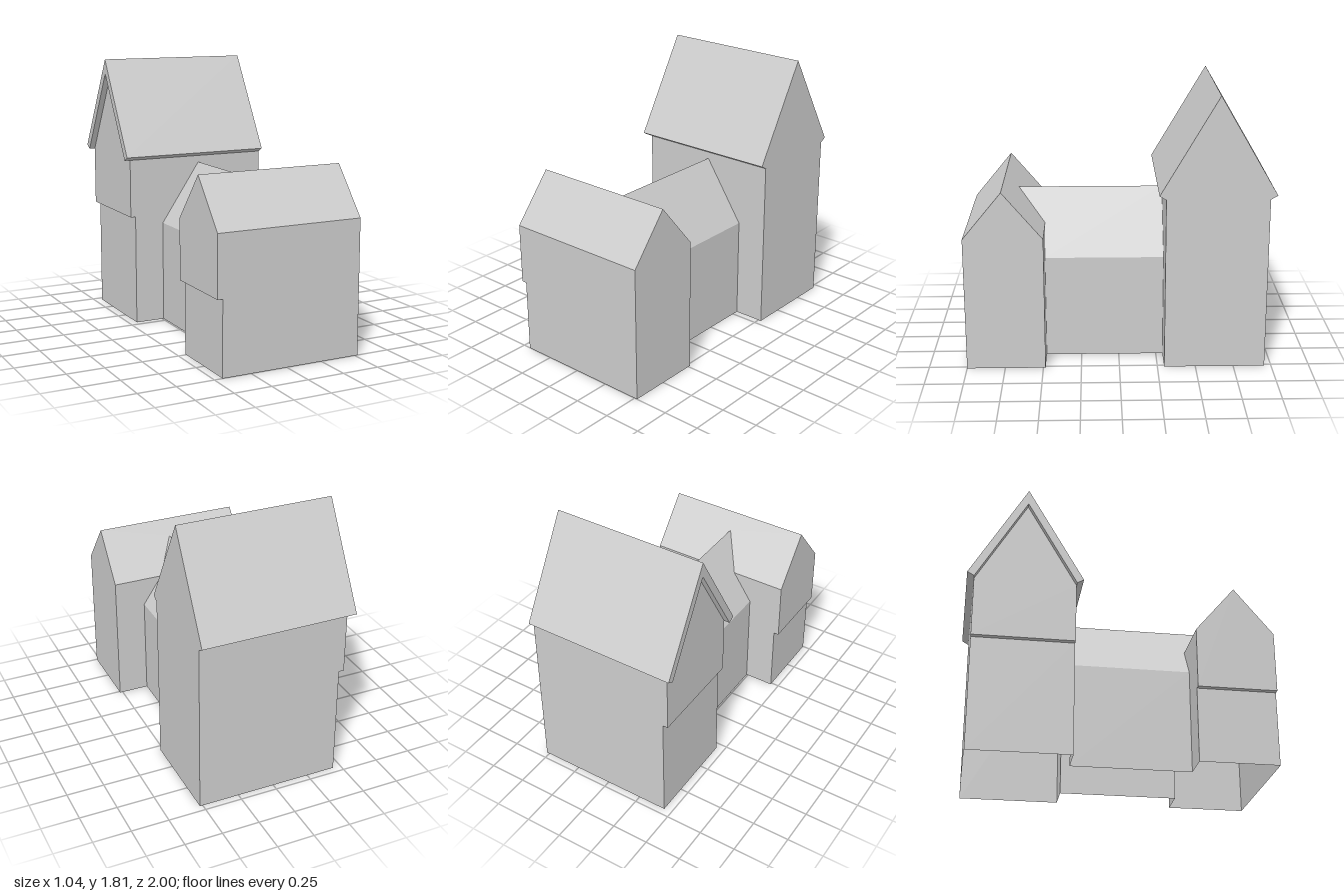
import * as THREE from 'three';

const stone = new THREE.MeshStandardMaterial({ color: 0xcccccc, side: THREE.DoubleSide });
stone.name = 'pale grey';

// Flat panel from a planar loop of [x, y, z] corners, turned to face the outward direction
function panel(group, name, loop, outward) {
  const pts = loop.map((p) => new THREE.Vector3(...p));
  const n = new THREE.Vector3();
  pts.forEach((p, i) => n.add(p.clone().cross(pts[(i + 1) % pts.length])));
  if (n.dot(new THREE.Vector3(...outward)) < 0) pts.reverse();
  const size = [Math.abs(n.x), Math.abs(n.y), Math.abs(n.z)];
  const drop = size.indexOf(Math.max(...size));
  const [a, b] = [['y', 'z'], ['z', 'x'], ['x', 'y']][drop];
  const flat = pts.map((p) => new THREE.Vector2(p[a], p[b]));
  const tris = THREE.ShapeUtils.triangulateShape(flat, []);
  const corners = [];
  const normal = n.clone();
  if (normal.dot(new THREE.Vector3(...outward)) < 0) normal.negate();
  for (const [i, j, k] of tris) {
    const c = pts[j].clone().sub(pts[i]).cross(pts[k].clone().sub(pts[i]));
    corners.push(...(c.dot(normal) < 0 ? [pts[i], pts[k], pts[j]] : [pts[i], pts[j], pts[k]]));
  }
  const geo = new THREE.BufferGeometry().setFromPoints(corners);
  geo.computeVertexNormals();
  const mesh = new THREE.Mesh(geo, stone);
  mesh.name = name;
  group.add(mesh);
}

const RIGHT = 0.52, LOWER = -0.445, UPPER = -0.48;    // shared side planes of both houses
const L = -0.24, R = 0.31, MID = 0.035;               // link building sides and ridge
const LINK_EAVE = 0.69, LINK_RIDGE = 1.1;
const linkX = (y) => (R - MID) * (LINK_RIDGE - y) / (LINK_RIDGE - LINK_EAVE);

// Gabled shell, open below; its upper storey juts out on one side above the step
function houseShell(name, { back, front, eave, ridgeZ, ridgeY, step }) {
  const g = new THREE.Group();
  g.name = name;
  const gable = (x, y0) => [[x, y0, back], [x, eave, back], [x, ridgeY, ridgeZ], [x, eave, front], [x, y0, front]];
  panel(g, 'flushGableWall', gable(RIGHT, 0), [1, 0, 0]);
  panel(g, 'upperGableWall', gable(UPPER, step), [-1, 0, 0]);
  panel(g, 'lowerSideWall', [[LOWER, 0, back], [LOWER, step, back], [LOWER, step, front], [LOWER, 0, front]], [-1, 0, 0]);
  panel(g, 'jettyUnderside', [[LOWER, step, back], [UPPER, step, back], [UPPER, step, front], [LOWER, step, front]], [0, -1, 0]);
  return g;
}

// Plain long wall with the jetty step in its outline
function longWall(g, name, z, eave, step, dir) {
  panel(g, name, [[LOWER, 0, z], [RIGHT, 0, z], [RIGHT, eave, z], [UPPER, eave, z], [UPPER, step, z], [LOWER, step, z]], [0, 0, dir]);
}

export function createModel() {
  const model = new THREE.Group();
  model.name = 'joinedHouses';

  // Low front house
  const f = { back: 0.485, front: 1, eave: 0.89, ridgeZ: 0.745, ridgeY: 1.2, step: 0.49 };
  const low = houseShell('frontHouse', f);
  longWall(low, 'frontWall', f.front, f.eave, f.step, 1);
  const v = linkX(f.eave);
  const meetZ = f.back + (f.ridgeZ - f.back) * (LINK_RIDGE - f.eave) / (f.ridgeY - f.eave);
  panel(low, 'rearWallLeft', [[R, 0, f.back], [RIGHT, 0, f.back], [RIGHT, f.eave, f.back],
    [MID + v, f.eave, f.back], [R, LINK_EAVE, f.back]], [0, 0, -1]);
  panel(low, 'rearWallRight', [[L, 0, f.back], [L, LINK_EAVE, f.back], [MID - v, f.eave, f.back],
    [UPPER, f.eave, f.back], [UPPER, f.step, f.back], [LOWER, f.step, f.back], [LOWER, 0, f.back]], [0, 0, -1]);
  panel(low, 'frontRoofSlope', [[UPPER, f.eave, f.front], [RIGHT, f.eave, f.front],
    [RIGHT, f.ridgeY, f.ridgeZ], [UPPER, f.ridgeY, f.ridgeZ]], [0, 1, 1]);
  panel(low, 'rearRoofSlope', [[UPPER, f.eave, f.back], [MID - v, f.eave, f.back], [MID, LINK_RIDGE, meetZ],
    [MID + v, f.eave, f.back], [RIGHT, f.eave, f.back], [RIGHT, f.ridgeY, f.ridgeZ], [UPPER, f.ridgeY, f.ridgeZ]], [0, 1, -1]);
  model.add(low);

  // Tall rear house
  const t = { back: -0.955, front: -0.295, eave: 1.145, ridgeZ: -0.625, ridgeY: 1.71, step: 0.75 };
  const tall = houseShell('rearHouse', t);
  longWall(tall, 'backWall', t.back, t.eave, t.step, -1);
  panel(tall, 'wallAroundLink', [[LOWER, 0, t.front], [L, 0, t.front], [L, LINK_EAVE, t.front], [MID, LINK_RIDGE, t.front],
    [R, LINK_EAVE, t.front], [R, 0, t.front], [RIGHT, 0, t.front], [RIGHT, t.eave, t.front],
    [UPPER, t.eave, t.front], [UPPER, t.step, t.front], [LOWER, t.step, t.front]], [0, 0, 1]);

  // Thick roof with eaves, overhanging one gable
  const chevron = new THREE.Shape([[-1, 1.17], [t.back, t.eave], [t.ridgeZ, t.ridgeY], [t.front, t.eave],
    [-0.252, 1.17], [t.ridgeZ, 1.81]].map((p) => new THREE.Vector2(...p)));
  const roofGeo = new THREE.ExtrudeGeometry(chevron, { depth: 1.04, bevelEnabled: false });
  roofGeo.rotateY(-Math.PI / 2).translate(RIGHT, 0, 0);
  const roof = new THREE.Mesh(roofGeo, stone);
  roof.name = 'tallRoof';
  tall.add(roof);
  model.add(tall);

  // Link building between the houses
  const link = new THREE.Group();
  link.name = 'linkBuilding';
  for (const [side, x] of [[1, R], [-1, L]]) {
    panel(link, 'linkWall', [[x, 0, t.front], [x, LINK_EAVE, t.front], [x, LINK_EAVE, f.back], [x, 0, f.back]], [side, 0, 0]);
    panel(link, 'linkRoofSlope', [[x, LINK_EAVE, t.front], [x, LINK_EAVE, f.back], [MID + side * v, f.eave, f.back],
      [MID, LINK_RIDGE, meetZ], [MID, LINK_RIDGE, t.front]], [side, 1, 0]);
  }
  model.add(link);
  return model;
}
